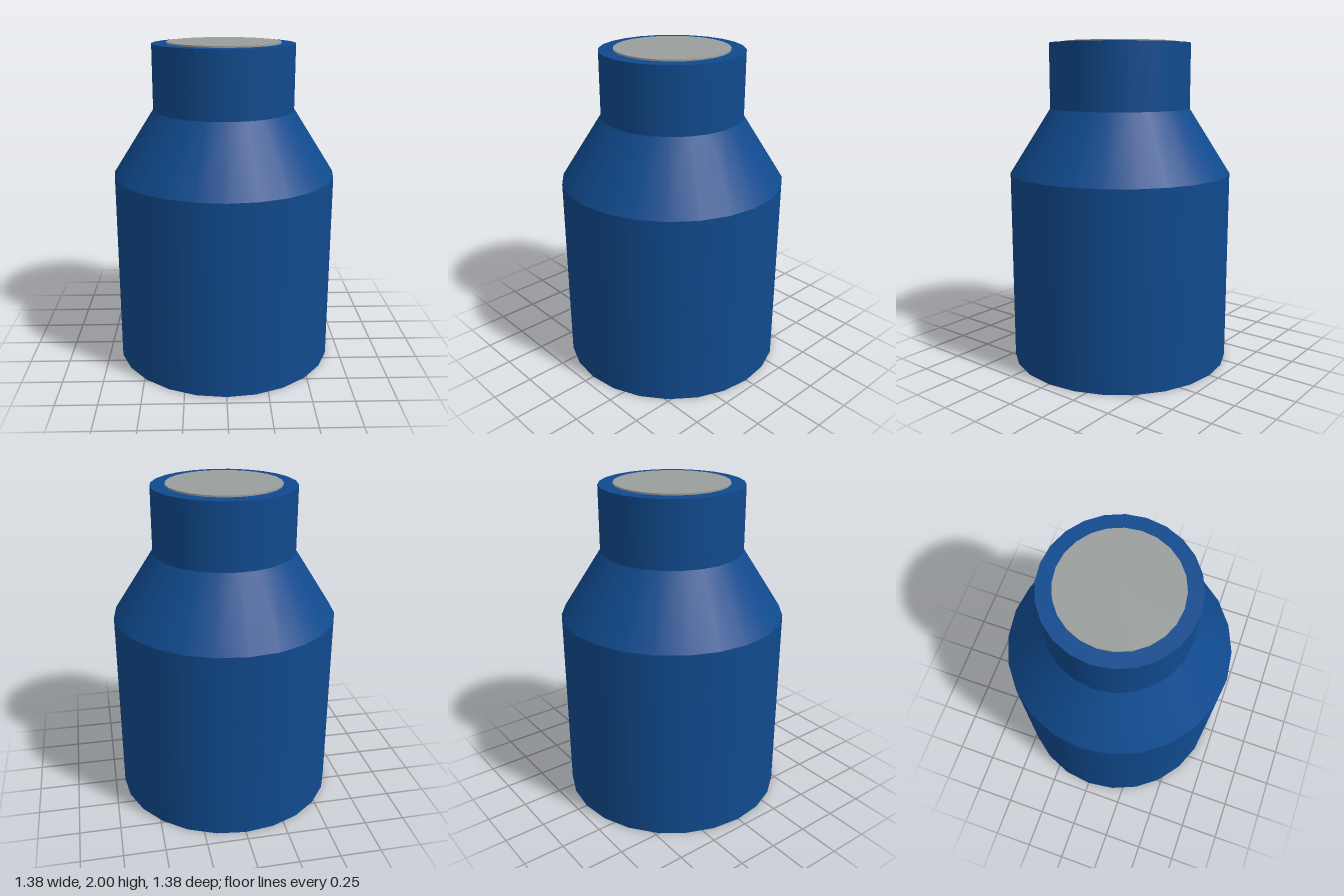
import * as THREE from 'three';

export function createModel() {
  const group = new THREE.Group();
  const blue = new THREE.MeshStandardMaterial({ color: 0x104a8e });
  blue.name = 'bottle blue';
  const grey = new THREE.MeshStandardMaterial({ color: 0x9a9f9d });
  grey.name = 'lid grey';

  const SIDES = 24;
  const add = (name, geometry, material, y) => {
    const mesh = new THREE.Mesh(geometry, material);
    mesh.name = name;
    mesh.position.y = y;
    group.add(mesh);
    return mesh;
  };
  // Open round section between two heights
  const section = (name, rBottom, rTop, y0, y1) =>
    add(name, new THREE.CylinderGeometry(rTop, rBottom, y1 - y0, SIDES, 1, true), blue, (y0 + y1) / 2);

  // Bottle walls, each with a crisp edge to the next
  section('body', 0.688, 0.688, 0, 1.195);
  section('shoulder', 0.688, 0.435, 1.195, 1.592);
  section('neck', 0.435, 0.435, 1.592, 1.99);

  // Base, starting a corner on the z axis like the walls
  add('base', new THREE.CircleGeometry(0.688, SIDES), blue, 0).rotation.x = Math.PI / 2;

  // Flat rim around the mouth
  add('rim', new THREE.RingGeometry(0.347, 0.435, SIDES), blue, 1.99).rotation.x = -Math.PI / 2;

  // Thin lid closing the mouth
  add('lid', new THREE.CylinderGeometry(0.347, 0.347, 0.01, SIDES), grey, 1.995);

  return group;
}
